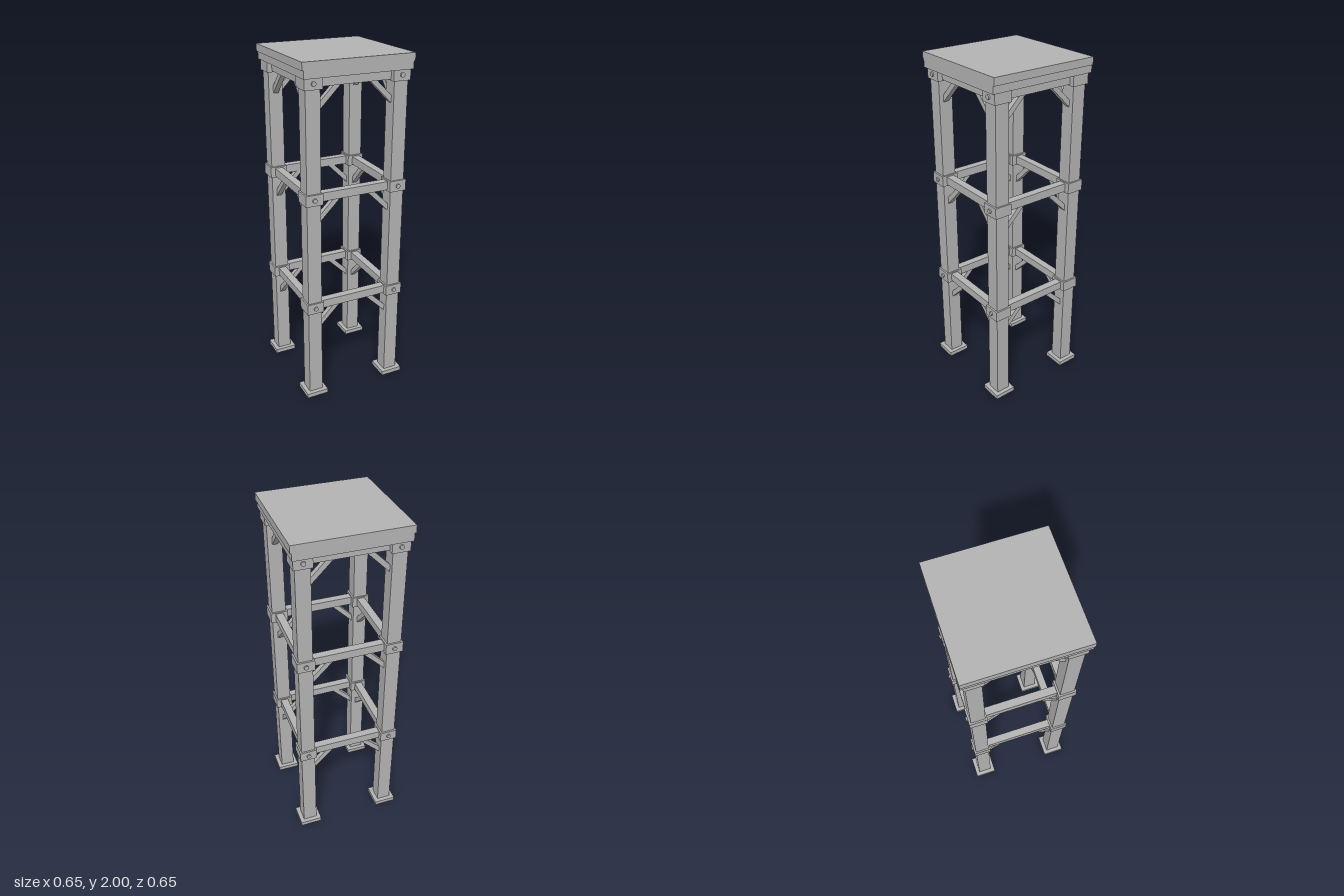
import * as THREE from 'three';

const POST = 0.256;                    // post centre offset in x and z
const LEVELS = [0.599, 1.264, 1.887];  // heights of the beam rings

export function createModel() {
  const model = new THREE.Group();
  model.name = 'tower';
  const grey = new THREE.MeshStandardMaterial({ color: 0xb2b2b2 });
  grey.name = 'plain grey';

  const add = (name, geometry, x, y, z, parent = model) => {
    const mesh = new THREE.Mesh(geometry, grey);
    mesh.name = name;
    mesh.position.set(x, y, z);
    parent.add(mesh);
    return mesh;
  };
  const box = (name, w, h, d, x, y, z, parent) =>
    add(name, new THREE.BoxGeometry(w, h, d), x, y, z, parent);

  // Corner posts with feet, collars and bolts
  for (const sx of [-1, 1]) for (const sz of [-1, 1]) {
    const x = sx * POST, z = sz * POST;
    box('post', 0.083, 1.94, 0.083, x, 0.99, z);
    box('foot', 0.132, 0.026, 0.132, x, 0.013, z);
    for (const y of LEVELS) {
      box('collar', 0.102, 0.064, 0.104, x, y, z);
      const bolt = add('bolt', new THREE.CylinderGeometry(0.013, 0.013, 0.02, 12), x, y, sz * 0.306);
      bolt.rotation.x = Math.PI / 2;
    }
  }

  // Each level has four sides with one beam and two diagonal braces
  for (const y of LEVELS) for (let i = 0; i < 4; i++) {
    const side = new THREE.Group();
    side.name = 'beamSide';
    side.position.y = y;
    side.rotation.y = i * Math.PI / 2;
    model.add(side);
    box('beam', 2 * POST, 0.049, 0.046, 0, 0, POST, side);
    for (const s of [-1, 1]) {
      const brace = box('brace', 0.22, 0.029, 0.03, s * 0.161, -0.079, POST, side);
      brace.rotation.z = -s * Math.PI / 4;
    }
  }

  // Deck slab on a frame of edge boards
  box('deck', 0.646, 0.043, 0.646, 0, 1.9785, 0);
  for (const s of [-1, 1]) {
    box('frontBackBoard', 0.63, 0.042, 0.032, 0, 1.936, s * 0.307);
    box('sideBoard', 0.032, 0.042, 0.582, s * 0.299, 1.936, 0);
  }
  return model;
}
